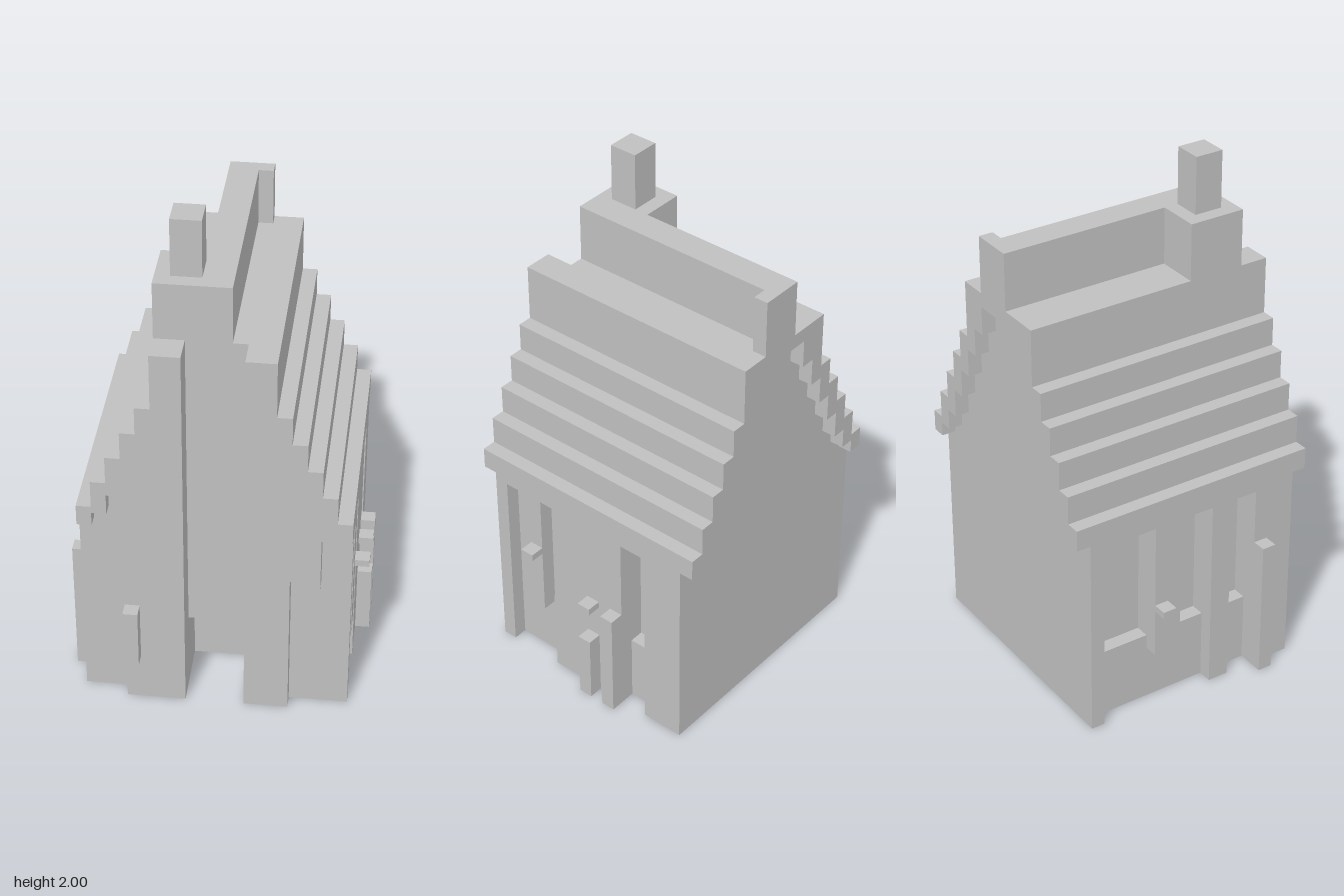
import * as THREE from 'three';

const U = 1 / 18; // one block of the building grid

export function createModel() {
  const house = new THREE.Group();
  house.name = 'house';
  const stone = new THREE.MeshStandardMaterial({ color: 0xc0c0c0 });
  stone.name = 'pale grey';

  const add = (name, geometry) => {
    const mesh = new THREE.Mesh(geometry, stone);
    mesh.name = name;
    house.add(mesh);
  };
  // box given by its limits in grid blocks
  const box = (name, x0, x1, y0, y1, z0, z1) => {
    const g = new THREE.BoxGeometry((x1 - x0) * U, (y1 - y0) * U, (z1 - z0) * U);
    add(name, g.translate((x0 + x1) / 2 * U, (y0 + y1) / 2 * U, (z0 + z1) / 2 * U));
  };
  // outline in grid blocks, extruded from z0 to z1
  const slice = (name, outline, z0, z1) => {
    const shape = new THREE.Shape(outline.map(([x, y]) => new THREE.Vector2(x * U, y * U)));
    const g = new THREE.ExtrudeGeometry(shape, { depth: (z1 - z0) * U, bevelEnabled: false });
    add(name, g.translate(0, 0, z0 * U));
  };
  const mirror = (points) => points.map(([x, y]) => [-x, y]);
  const closed = (half) => [...half, ...mirror(half).reverse()];

  // stepped roof slope, from the ridge down to the eave
  const stairs = [];
  const tops = [28, 24, 22, 20, 18, 16];
  tops.forEach((top, i) => {
    stairs.push([4 + i, top]);
    if (i < 5) stairs.push([4 + i, tops[i + 1]]);
  });

  // overhanging rear verge with a stepped underside
  const underside = [];
  [14.5, 15.5, 17, 19, 21, 23, 25, 27].forEach((y, i) => {
    underside.push([9 - i, y], [8 - i, y]);
  });
  slice('rearVerge', closed([...stairs, ...underside]), -9.5, -8.5);

  // main body and the part with the doorway
  const shell = [...stairs, [9, 14], [7, 14], [7, 0]];
  slice('body', closed(shell), -8.5, 3.5);
  slice('doorwayBody', closed([...shell, [2, 0], [2, 5.6]]), 3.5, 6.5);

  // front gable in two layers, split by the central recess
  const wing = [[2, 28], ...stairs, [9, 0], [2, 0]];
  slice('leftGable', wing, 6.5, 7.5);
  slice('rightGable', mirror(wing), 6.5, 7.5);
  slice('leftGableFace', [[2, 28], ...stairs, [9, 14.5], [7, 14.5], [7, 10.5], [6, 10.5],
    [6, 11], [5, 11], [5, 0], [2, 0]], 7.5, 8.5);
  slice('rightGableFace', mirror([[2, 28], ...stairs, [9, 14.5], [8, 14.5], [8, 15.5], [7, 15.5],
    [7, 17], [6, 17], [6, 0], [2, 0]]), 7.5, 8.5);

  // side walls between the recesses
  [[-8.5, -5.5], [-3.5, 2.5]].forEach(([a, b]) => box('leftWall', 7, 9, 0, 14, a, b));
  [[-8.5, -7.5], [1, 2.5], [4.5, 6.5]].forEach(([a, b]) => box('rightWall', -9, -7, 0, 14, a, b));

  // low sills inside the recesses
  [[-5.5, -3.5], [2.5, 6.5]].forEach(([a, b]) => box('leftSill', 7, 8, 0, 5, a, b));
  [[-7.5, 1], [2.5, 4.5]].forEach(([a, b]) => box('rightSill', -8, -7, 0, 5, a, b));

  // hanging window boards
  box('leftBoard', 7, 9, 4.5, 14, 3.5, 5.5);
  box('rightBoard', -9, -7, 4, 14, -3.5, -1.5);

  // ridge and chimney
  box('ridge', -1, 1, 28, 32, -9.5, 6.5);
  box('ridgeBlock', -4, -1, 28, 32, 2.5, 6.5);
  box('ridgeEnd', 1, 2, 28, 32, -9.5, -8.5);
  box('chimney', -3, -1, 32, 36, 3.5, 5.5);

  // small posts and ledges on the outside
  box('tallPost', 9, 10, 0, 8, -3.5, -2.5);
  box('shortPost', 9, 10, 0, 5, -1.5, -0.5);
  box('lowLedge', 9, 10, 7.5, 8, -1.5, -0.5);
  box('highLedge', 9, 10, 9.5, 10, 3.5, 4.5);
  box('rightPost', -10, -9, 0, 10, 4.5, 5.5);
  box('rightLedge', -10, -9, 7.5, 8, -3.5, -2.5);
  box('frontPost', -6, -5, 3.6, 8, 8.5, 9.5);

  return house;
}
